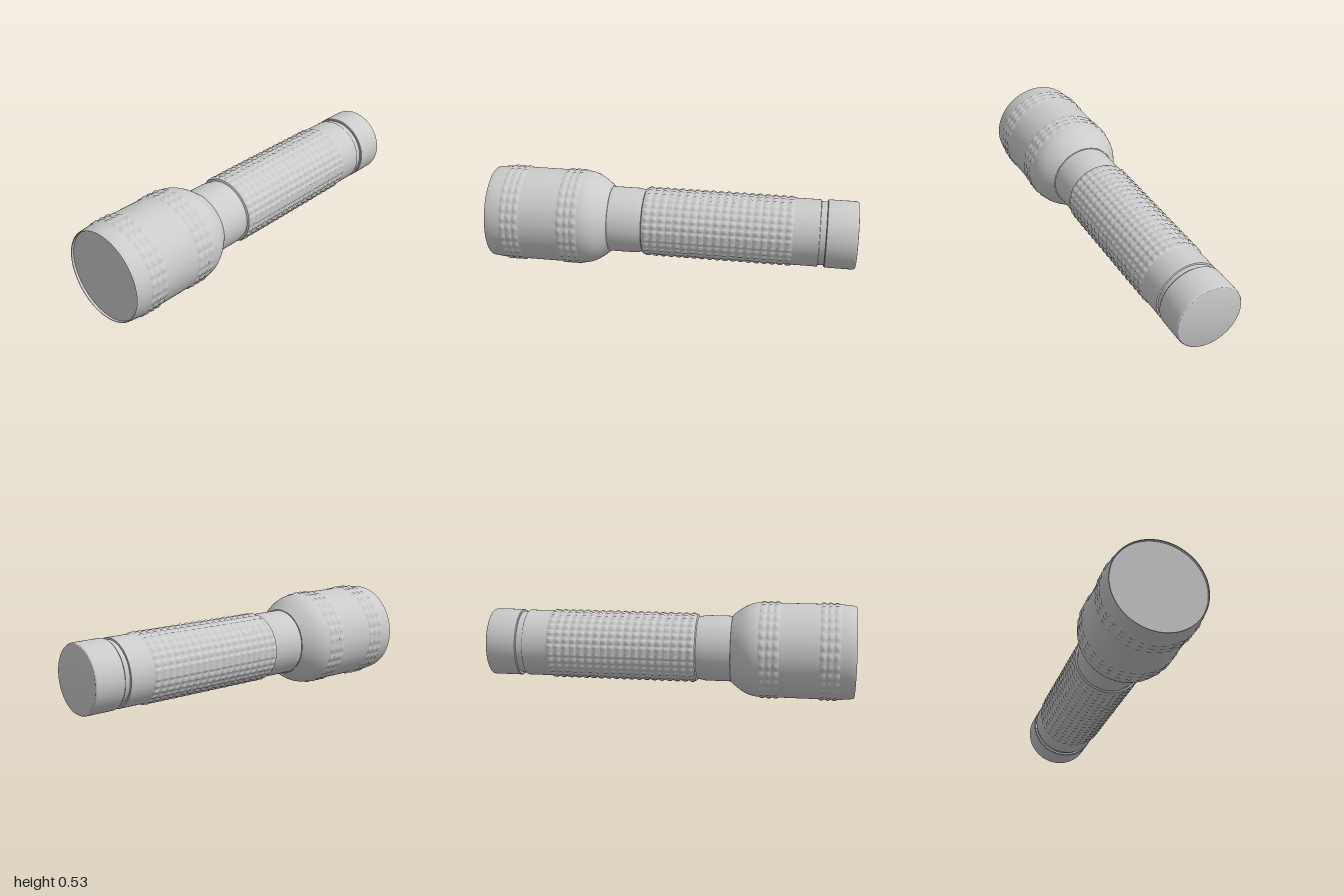
import * as THREE from 'three';
import { toCreasedNormals } from 'three/addons/utils/BufferGeometryUtils.js';

const AXIS_Y = 0.265; // height of the torch's long axis
const BUMPS = 30; // knurl bumps around the circumference
const material = new THREE.MeshStandardMaterial({ color: 0xcccccc });

function addMesh(group, name, geometry, crease) {
  geometry.rotateX(Math.PI / 2); // lathe axis y becomes z
  const mesh = new THREE.Mesh(toCreasedNormals(geometry, crease), material);
  mesh.name = name;
  mesh.position.y = AXIS_Y;
  group.add(mesh);
}

// Turned part: profile of [radius, z] from back to front
function turned(group, name, profile) {
  const points = profile.map(([r, z]) => new THREE.Vector2(r, z));
  addMesh(group, name, new THREE.LatheGeometry(points, 96), 0.42);
}

// Band of rounded bumps in a regular grid
function knurl(group, name, radius, height, z0, z1, rows) {
  const steps = rows * 6;
  const points = [];
  for (let i = 0; i <= steps; i++) {
    points.push(new THREE.Vector2(radius, z0 + ((z1 - z0) * i) / steps));
  }
  const geometry = new THREE.LatheGeometry(points, BUMPS * 6);
  const p = geometry.attributes.position;
  for (let i = 0; i < p.count; i++) {
    const angle = Math.atan2(p.getX(i), p.getZ(i));
    const along = Math.abs(Math.sin((Math.PI * rows * (p.getY(i) - z0)) / (z1 - z0)));
    const around = Math.abs(Math.cos((angle * BUMPS) / 2));
    const s = 1 + (height * Math.pow(along * around, 1.2)) / radius;
    p.setX(i, p.getX(i) * s);
    p.setZ(i, p.getZ(i) * s);
  }
  addMesh(group, name, geometry, 1.1);
}

export function createModel() {
  const model = new THREE.Group();
  model.name = 'flashlight';

  // Tail cap with softly rounded rear edge
  turned(model, 'tailCap', [
    [0, -1], [0.172, -1], [0.178, -0.998], [0.182, -0.993], [0.184, -0.985],
    [0.184, -0.836], [0.181, -0.832], [0.168, -0.832],
  ]);

  // Handle: groove, plain collar, bed under the grip and tapered neck
  turned(model, 'handle', [
    [0.172, -0.84], [0.172, -0.8], [0.18, -0.798], [0.182, -0.794],
    [0.182, -0.655], [0.178, -0.65], [0.178, 0.14], [0.182, 0.145],
    [0.182, 0.15], [0.172, 0.155], [0.173, 0.165], [0.179, 0.2], [0.179, 0.36],
  ]);
  knurl(model, 'grip', 0.182, 0.009, -0.66, 0.148, 19);

  // Head: flared shoulder, barrel, bezel lip and the inner wall of the lip
  const shoulder = new THREE.CubicBezierCurve(
    new THREE.Vector2(0.184, 0.341), new THREE.Vector2(0.225, 0.39),
    new THREE.Vector2(0.256, 0.43), new THREE.Vector2(0.257, 0.495),
  ).getPoints(14).map((v) => [v.x, v.y]);
  turned(model, 'head', [
    [0.17, 0.34], [0.181, 0.34], ...shoulder,
    [0.254, 0.5], [0.254, 0.59], [0.257, 0.595],
    [0.257, 0.815], [0.254, 0.82], [0.254, 0.905], [0.257, 0.91],
    [0.256, 0.935], [0.253, 0.965], [0.25, 0.992], [0.248, 0.998],
    [0.246, 1], [0.244, 0.998], [0.244, 0.98],
  ]);
  knurl(model, 'rearHeadKnurl', 0.257, 0.008, 0.49, 0.6, 3);
  knurl(model, 'frontHeadKnurl', 0.257, 0.008, 0.81, 0.915, 3);

  // Flat lens just inside the lip
  turned(model, 'lens', [[0.246, 0.985], [0, 0.985]]);

  return model;
}
